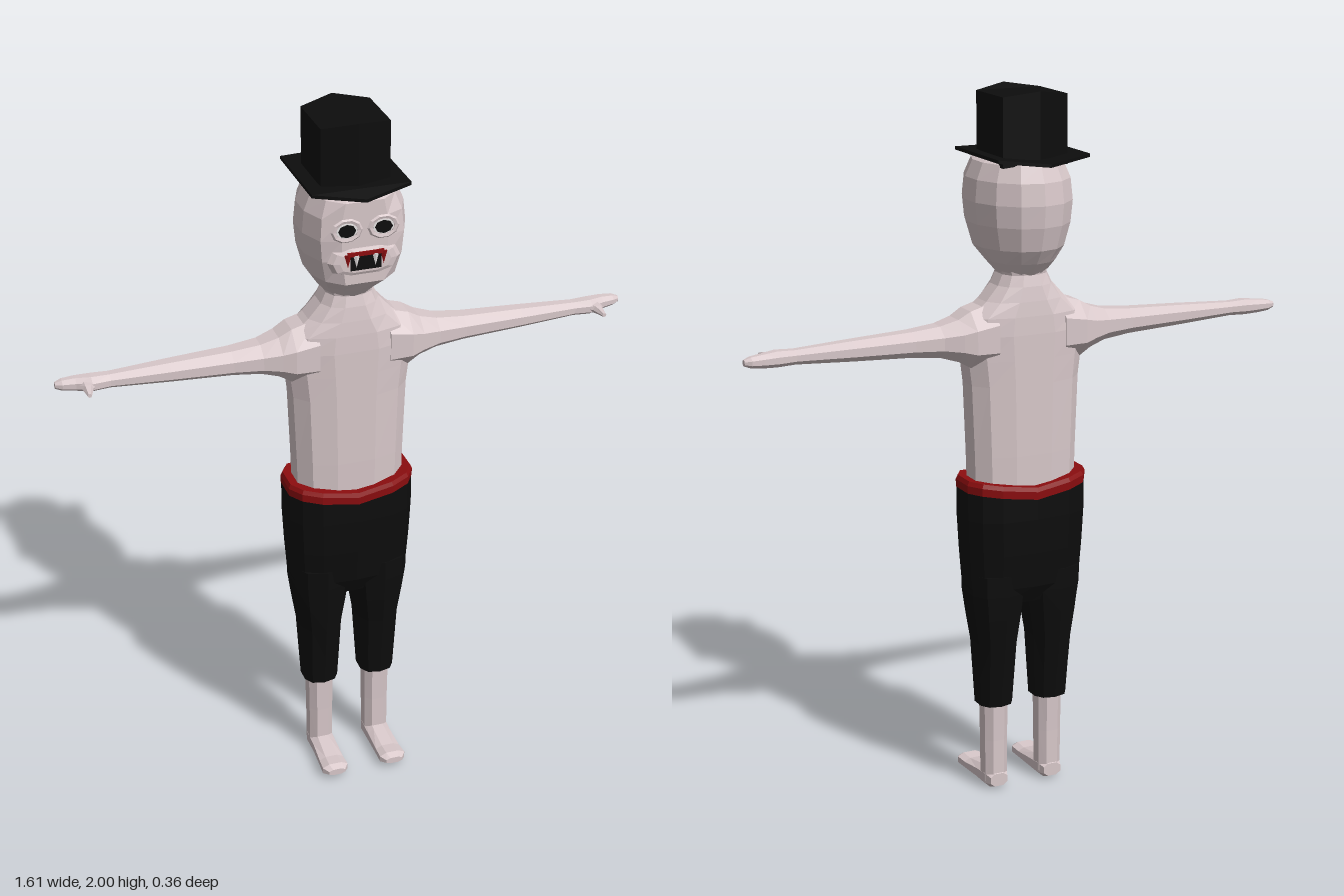
import * as THREE from 'three';

const mat = (name, color, extra = {}) => new THREE.MeshStandardMaterial({ name, color, flatShading: true, ...extra });

// Closed loft. Each section is [w, cu, cv, hu, hv]; axis says how (u, v, w) map to x, y, z.
const AXES = {
  y: (u, v, w) => [u, w, v],
  x: (u, v, w) => [w, v, u],
  z: (u, v, w) => [v, u, w],
};
function loft(sections, { axis = 'y', n = 12, square = 1, mirror = false, adjust = null } = {}) {
  const pos = [], idx = [], map = AXES[axis];
  const soft = (t) => Math.sign(t) * Math.pow(Math.abs(t), square);
  const push = (u, v, w) => {
    const p = new THREE.Vector3(...map(u, v, w));
    if (adjust) adjust(p);
    if (mirror) p.x *= -1;
    pos.push(p.x, p.y, p.z);
  };
  for (const [w, cu, cv, hu, hv] of sections) {
    for (let i = 0; i < n; i++) {
      const a = ((i + 0.5) / n) * Math.PI * 2;
      push(cu + hu * soft(Math.cos(a)), cv + hv * soft(Math.sin(a)), w);
    }
  }
  const tri = (a, b, c) => (mirror ? idx.push(a, c, b) : idx.push(a, b, c));
  const last = sections.length - 1;
  for (let s = 0; s < last; s++) {
    for (let i = 0; i < n; i++) {
      const j = (i + 1) % n, a = s * n + i, b = s * n + j;
      tri(a, a + n, b);
      tri(b, a + n, b + n);
    }
  }
  for (const s of [0, last]) {
    const c = pos.length / 3, [w, cu, cv] = sections[s];
    push(cu, cv, w);
    for (let i = 0; i < n; i++) {
      const a = s * n + i, b = s * n + ((i + 1) % n);
      if (s === 0) tri(c, a, b); else tri(c, b, a);
    }
  }
  const g = new THREE.BufferGeometry();
  g.setAttribute('position', new THREE.Float32BufferAttribute(pos, 3));
  g.setIndex(idx);
  const flat = g.toNonIndexed();
  flat.computeVertexNormals();
  return flat;
}

// Six-sided slab with points at front and back; side edges rise by "lift"
function hexSlab(halfX, front, frontSide, backSide, back, top, height, lift) {
  const pts = [[0, front], [halfX, frontSide], [halfX, backSide], [0, back], [-halfX, backSide], [-halfX, frontSide]];
  const shape = new THREE.Shape(pts.map(([x, z]) => new THREE.Vector2(x, z)));
  const g = new THREE.ExtrudeGeometry(shape, { depth: height, bevelEnabled: false });
  g.rotateX(Math.PI / 2).translate(0, top, 0);
  const p = g.attributes.position;
  for (let i = 0; i < p.count; i++) p.setY(i, p.getY(i) + lift * Math.abs(p.getX(i)) / halfX);
  g.computeVertexNormals();
  return g;
}

export function createModel() {
  const model = new THREE.Group();
  const skin = mat('paleSkin', 0xd8c8ca);
  const black = mat('blackCloth', 0x0d0d0d);
  const red = mat('darkRed', 0x8c0d0f);
  const white = mat('toothWhite', 0xeeeaea);
  const add = (name, geometry, material, x = 0, y = 0, z = 0) => {
    const m = new THREE.Mesh(geometry, material);
    m.name = name;
    m.position.set(x, y, z);
    model.add(m);
    return m;
  };

  // Torso and neck
  add('torso', loft([
    [0.88, 0, 0, 0.155, 0.088], [1.0, 0, 0, 0.158, 0.09], [1.2, 0, 0, 0.166, 0.09],
    [1.27, 0, 0, 0.175, 0.09], [1.34, 0, 0, 0.185, 0.09], [1.39, 0, 0, 0.17, 0.088],
    [1.43, 0, 0, 0.12, 0.084], [1.47, 0, 0, 0.083, 0.078], [1.5, 0, 0, 0.068, 0.07],
    [1.54, 0, 0, 0.075, 0.075],
  ], { square: 0.8 }), skin);

  // Head with a flattened face
  add('head', loft([
    [1.5, 0, 0, 0.066, 0.07], [1.535, 0, 0.005, 0.095, 0.105], [1.575, 0, 0.02, 0.122, 0.148],
    [1.64, 0, 0.022, 0.14, 0.168], [1.7, 0, 0.022, 0.146, 0.174], [1.76, 0, 0.022, 0.14, 0.167],
    [1.805, 0, 0.022, 0.12, 0.147], [1.825, 0, 0.01, 0.08, 0.1],
  ], { n: 14, adjust: (p) => { p.z = Math.min(p.z, 0.15); } }), skin);

  // Hat
  add('hatBrim', hexSlab(0.135, 0.165, 0.125, -0.145, -0.185, 1.817, 0.009, 0.014), black);
  add('hatCrown', hexSlab(0.095, 0.105, 0.075, -0.09, -0.12, 2, 0.188, -0.014), black);

  // Muzzle and mouth
  add('muzzle', loft([
    [0.14, 1.64, 0, 0.042, 0.1], [0.153, 1.64, 0, 0.038, 0.088], [0.157, 1.64, 0, 0.03, 0.07],
  ], { axis: 'z', n: 10, square: 0.7 }), skin);
  add('mouthOpening', new THREE.BoxGeometry(0.084, 0.04, 0.006), black, 0, 1.638, 0.156);
  add('upperLip', new THREE.BoxGeometry(0.1, 0.011, 0.009), red, 0, 1.664, 0.157);

  for (const s of [-1, 1]) {
    const side = s > 0 ? 'left' : 'right';
    const mirror = s < 0;

    // Eyes with raised lids
    add(side + 'Eyelid', new THREE.TorusGeometry(0.033, 0.007, 5, 10).scale(1.1, 0.85, 0.7), skin, s * 0.05, 1.73, 0.151);
    add(side + 'EyeWhite', new THREE.CylinderGeometry(0.027, 0.027, 0.006, 10).rotateX(Math.PI / 2).scale(1.1, 0.75, 1), white, s * 0.05, 1.73, 0.15);
    add(side + 'Pupil', new THREE.CylinderGeometry(0.021, 0.021, 0.006, 8).rotateX(Math.PI / 2).scale(1.15, 0.85, 1), black, s * 0.05, 1.73, 0.153);

    // Fang and red drop at the mouth corner
    add(side + 'Fang', new THREE.ConeGeometry(0.009, 0.034, 4).rotateX(Math.PI).scale(1, 1, 0.5), white, s * 0.026, 1.644, 0.16);
    add(side + 'Drop', new THREE.ConeGeometry(0.01, 0.036, 4).rotateX(Math.PI).scale(1, 1, 0.5), red, s * 0.049, 1.646, 0.158);

    // Arm, flaring into the shoulder
    add(side + 'Arm', loft([
      [0.1, 0, 1.335, 0.088, 0.1], [0.165, 0, 1.33, 0.086, 0.085], [0.2, 0, 1.33, 0.076, 0.063],
      [0.25, 0.003, 1.33, 0.06, 0.047], [0.33, 0.004, 1.33, 0.05, 0.038], [0.5, 0.004, 1.33, 0.04, 0.03],
      [0.66, 0.004, 1.33, 0.028, 0.021], [0.71, 0.005, 1.33, 0.033, 0.023], [0.75, -0.004, 1.33, 0.024, 0.02],
      [0.785, -0.007, 1.33, 0.019, 0.016], [0.803, -0.007, 1.33, 0.009, 0.009],
    ], { axis: 'x', n: 8, mirror }), skin);
    add(side + 'Thumb', loft([
      [0.015, 1.33, 0.715, 0.015, 0.032], [0.04, 1.33, 0.724, 0.012, 0.015], [0.075, 1.328, 0.728, 0.006, 0.006],
    ], { axis: 'z', n: 6, adjust: (p) => { p.x *= s; if (mirror) p.x *= -1; }, mirror }), skin);

    // Trouser leg
    add(side + 'TrouserLeg', loft([
      [0.26, 0.085, 0.002, 0.051, 0.054], [0.35, 0.085, 0.001, 0.056, 0.064], [0.45, 0.085, 0, 0.061, 0.078],
      [0.53, 0.085, 0, 0.074, 0.088], [0.6, 0.085, 0, 0.084, 0.094], [0.66, 0.085, 0, 0.085, 0.096],
    ], { n: 10, square: 0.8, mirror }), black);

    // Shin and foot
    add(side + 'Shin', loft([
      [0.025, 0.085, 0.002, 0.036, 0.037], [0.15, 0.085, 0.002, 0.037, 0.037], [0.28, 0.085, 0.002, 0.039, 0.04],
    ], { n: 8, square: 0.8, mirror }), skin);
    add(side + 'Foot', loft([
      [-0.035, 0.03, 0.085, 0.02, 0.028], [-0.01, 0.032, 0.085, 0.032, 0.037], [0.05, 0.028, 0.085, 0.026, 0.036],
      [0.12, 0.024, 0.087, 0.018, 0.038], [0.16, 0.025, 0.088, 0.019, 0.04], [0.178, 0.025, 0.088, 0.01, 0.026],
    ], { axis: 'z', n: 8, square: 0.8, mirror }), skin);
  }

  // Trouser hips and waistband dipping at the middle
  const dip = (p) => { if (p.y > 0.87) p.y -= 0.022 * Math.max(0, 1 - Math.abs(p.x) / 0.16); };
  add('trouserHips', loft([
    [0.57, 0, 0, 0.16, 0.07], [0.62, 0, 0, 0.17, 0.094], [0.72, 0, 0, 0.177, 0.104],
    [0.82, 0, 0, 0.182, 0.11], [0.905, 0, 0, 0.182, 0.11],
  ], { n: 14, square: 0.7, adjust: dip }), black);
  add('waistband', loft([
    [0.9, 0, 0, 0.183, 0.111], [0.922, 0, 0, 0.184, 0.112], [0.934, 0, 0, 0.178, 0.107],
  ], { n: 14, square: 0.7, adjust: dip }), red);

  return model;
}
